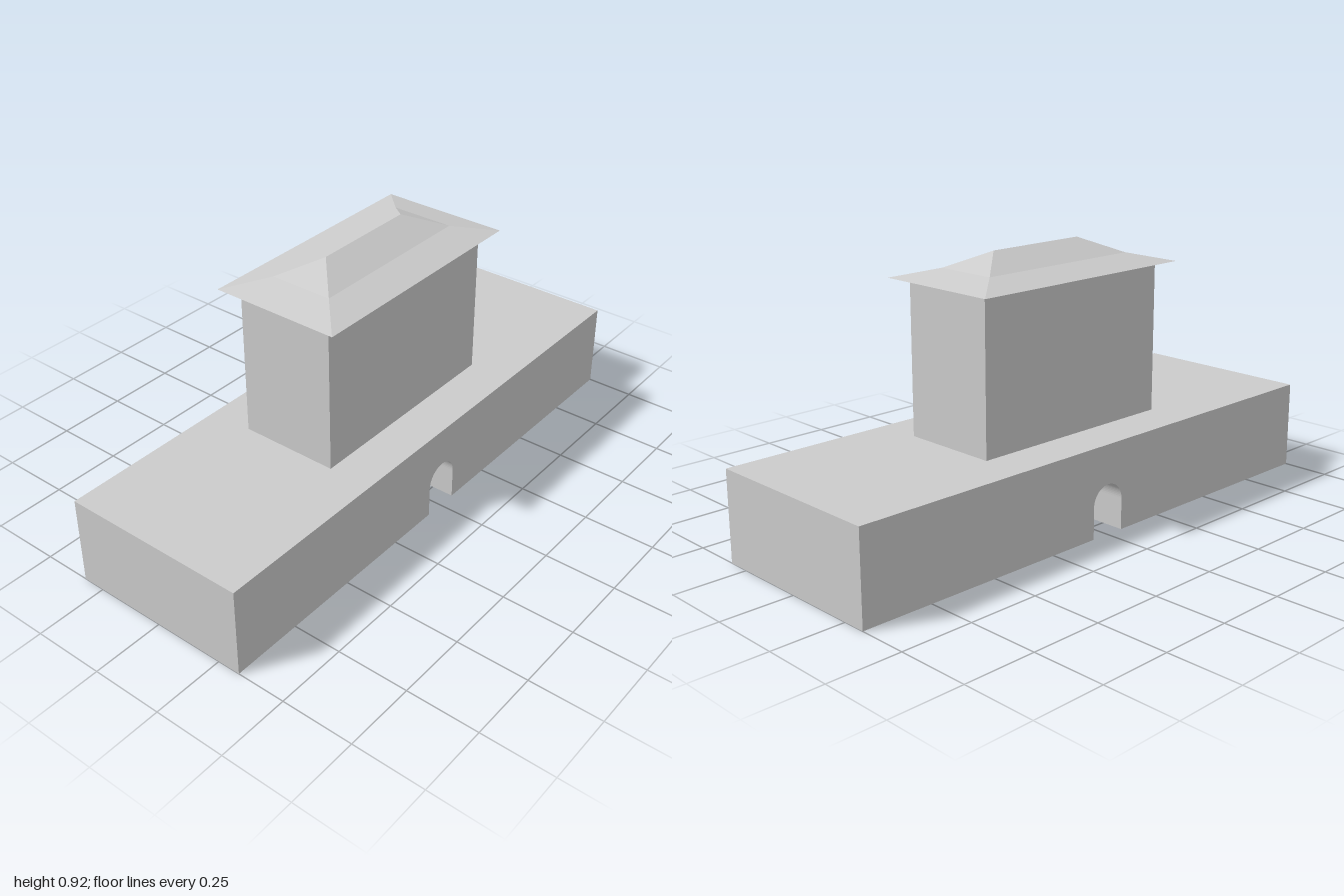
import * as THREE from 'three';

const material = new THREE.MeshStandardMaterial({ color: 0xcccccc, flatShading: true });

function addPart(group, name, geometry) {
  const mesh = new THREE.Mesh(geometry, material);
  mesh.name = name;
  group.add(mesh);
  return mesh;
}

// Long wall block with an arched passage running front to back
function wallGeometry() {
  const w = 1, h = 0.31, depth = 0.66, r = 0.066, spring = 0.108;
  const shape = new THREE.Shape();
  shape.moveTo(-w, 0);
  shape.lineTo(-r, 0);
  shape.lineTo(-r, spring);
  shape.absarc(0, spring, r, Math.PI, 0, true);
  shape.lineTo(r, 0);
  shape.lineTo(w, 0);
  shape.lineTo(w, h);
  shape.lineTo(-w, h);
  shape.closePath();
  const geometry = new THREE.ExtrudeGeometry(shape, { depth, bevelEnabled: false, curveSegments: 16 });
  return geometry.translate(0, 0, -depth / 2);
}

// Hipped roof lofted through rectangles: [half width, height, half depth]
function roofGeometry() {
  const rings = [[0.437, 0.835, 0.228], [0.31, 0.866, 0.111], [0.19, 0.92, 0]];
  const positions = [];
  const indices = [];
  for (const [x, y, z] of rings) {
    positions.push(-x, y, z, x, y, z, x, y, -z, -x, y, -z);
  }
  for (let i = 0; i < rings.length - 1; i++) {
    for (let j = 0; j < 4; j++) {
      const a = i * 4 + j, b = i * 4 + (j + 1) % 4;
      indices.push(a, b, b + 4);
      // the ends meet the ridge in a point, so they need one triangle there
      if (i === 0 || j % 2 === 0) indices.push(a, b + 4, a + 4);
    }
  }
  // flat underside of the eaves
  indices.push(0, 2, 1, 0, 3, 2);
  const geometry = new THREE.BufferGeometry();
  geometry.setAttribute('position', new THREE.Float32BufferAttribute(positions, 3));
  geometry.setIndex(indices);
  const flat = geometry.toNonIndexed();
  flat.computeVertexNormals();
  return flat;
}

export function createModel() {
  const model = new THREE.Group();
  model.name = 'gatehouse';

  addPart(model, 'archedWall', wallGeometry());

  // Upper building standing on the wall
  const tower = addPart(model, 'tower', new THREE.BoxGeometry(0.78, 0.525, 0.35));
  tower.position.y = 0.31 + 0.525 / 2;

  addPart(model, 'roof', roofGeometry());
  return model;
}
